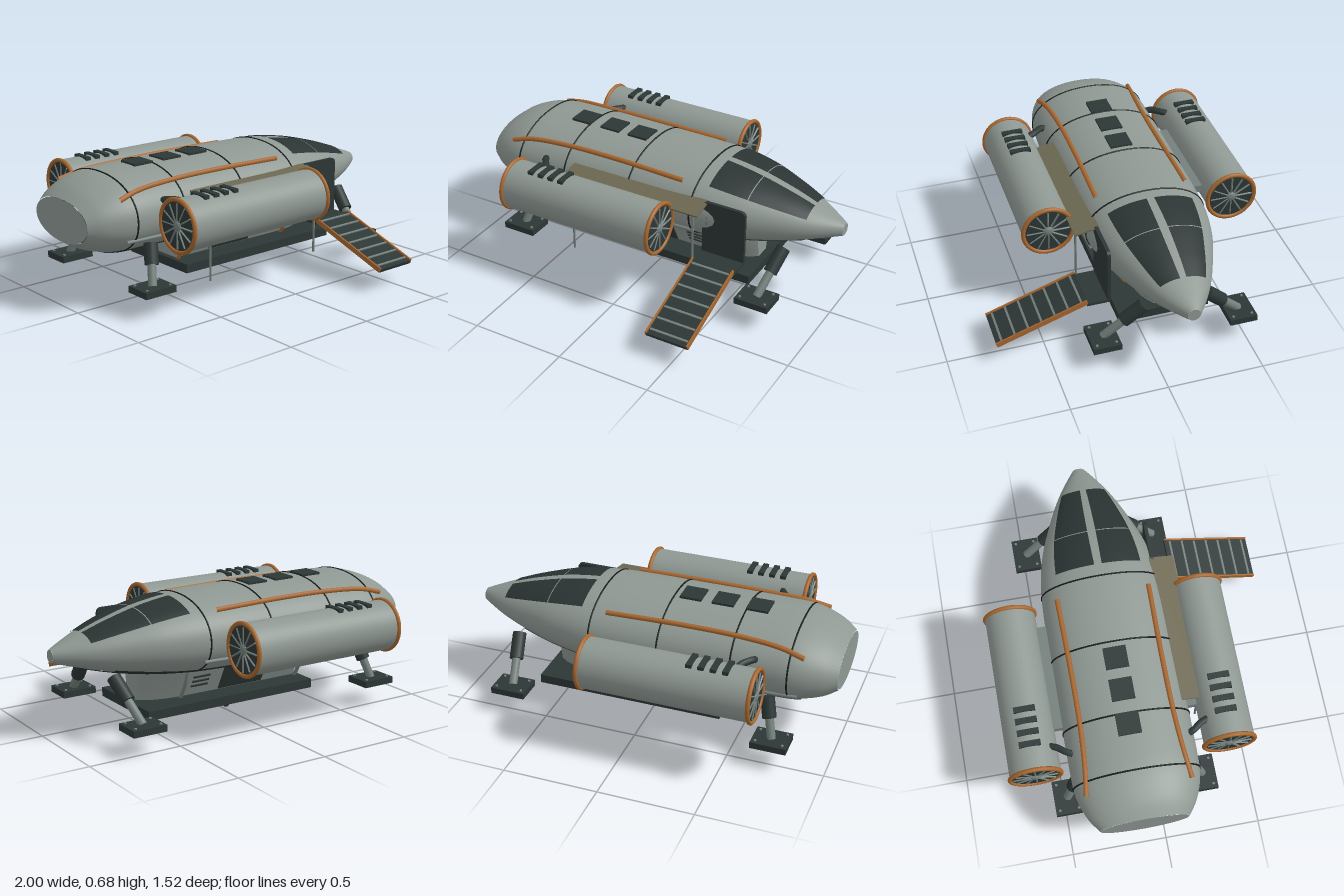
import * as THREE from 'three';
import { mergeVertices } from 'three/addons/utils/BufferGeometryUtils.js';

const mat = (name, color, side = THREE.FrontSide) => {
  const m = new THREE.MeshStandardMaterial({ color, side });
  m.name = name;
  return m;
};
const V = (x, y, z) => new THREE.Vector3(x, y, z);

// Hull stations: x, top, bottom, half width
const STATIONS = [
  [-1, 0.56, 0.34, 0.225], [-0.93, 0.61, 0.298, 0.275], [-0.81, 0.653, 0.266, 0.318],
  [-0.68, 0.665, 0.26, 0.326], [-0.2, 0.667, 0.26, 0.326], [0.28, 0.662, 0.268, 0.318],
  [0.5, 0.635, 0.292, 0.28], [0.7, 0.583, 0.328, 0.206], [0.84, 0.535, 0.364, 0.14],
  [0.95, 0.495, 0.395, 0.07], [1, 0.475, 0.41, 0.033],
];
function section(x) {
  let i = 0;
  while (i < STATIONS.length - 2 && x > STATIONS[i + 1][0]) i++;
  const a = STATIONS[i], b = STATIONS[i + 1], h = b[0] - a[0], t = (x - a[0]) / h;
  const slope = (k, c) => {
    const p = STATIONS[Math.max(k - 1, 0)], n = STATIONS[Math.min(k + 1, STATIONS.length - 1)];
    return (n[c] - p[c]) / (n[0] - p[0]);
  };
  const f = (c) => (2 * t ** 3 - 3 * t * t + 1) * a[c] + (t ** 3 - 2 * t * t + t) * h * slope(i, c)
    + (3 * t * t - 2 * t ** 3) * b[c] + (t ** 3 - t * t) * h * slope(i + 1, c);
  return { cy: (f(1) + f(2)) / 2, ry: (f(1) - f(2)) / 2, rz: f(3) };
}
// Point on the hull; angle t runs from the top towards +z
function hullPoint(x, t, off = 0) {
  const s = section(x), p = (v) => Math.sign(v) * Math.abs(v) ** 0.93;
  return V(x, s.cy + (s.ry + off) * p(Math.cos(t)), (s.rz + off) * p(Math.sin(t)));
}
// Patch of hull skin; t0 and t1 are [angle at x0, angle at x1]
function patch(x0, x1, t0, t1, off, nx, nt) {
  const pos = [], idx = [];
  for (let i = 0; i <= nx; i++) for (let j = 0; j <= nt; j++) {
    const u = i / nx, a = t0[0] + (t0[1] - t0[0]) * u, b = t1[0] + (t1[1] - t1[0]) * u;
    pos.push(...hullPoint(x0 + (x1 - x0) * u, a + ((b - a) * j) / nt, off));
    if (i < nx && j < nt) {
      const k = i * (nt + 1) + j, n = k + nt + 1;
      idx.push(k, k + 1, n, k + 1, n + 1, n);
    }
  }
  let g = new THREE.BufferGeometry();
  g.setAttribute('position', new THREE.Float32BufferAttribute(pos, 3));
  g.setIndex(idx);
  g = mergeVertices(g, 1e-5);
  g.computeVertexNormals();
  return g;
}

export function createModel() {
  const hullGrey = mat('hull grey', 0x8f9893);
  const dark = mat('dark metal', 0x2c3735);
  const glass = mat('dark glass', 0x2b3333, THREE.DoubleSide);
  const belly2 = mat('underside dark', 0x2a3230, THREE.DoubleSide);
  const copper = mat('copper', 0xa8672f);
  const steel = mat('steel', 0x74807c);
  const olive = mat('olive canvas', 0x6b6750);
  const black = mat('seam black', 0x161b1a);

  const root = new THREE.Group();
  root.name = 'dropship';
  const body = new THREE.Group();
  body.name = 'body';
  body.position.z = -0.117;
  root.add(body);

  const add = (name, geo, m, x = 0, y = 0, z = 0, parent = body) => {
    const mesh = new THREE.Mesh(geo, m);
    mesh.name = name;
    mesh.position.set(x, y, z);
    parent.add(mesh);
    return mesh;
  };
  const box = (name, w, h, d, m, x, y, z, parent) => add(name, new THREE.BoxGeometry(w, h, d), m, x, y, z, parent);
  const tube = (name, pts, r, m, closed = false, parent = body) =>
    add(name, new THREE.TubeGeometry(new THREE.CatmullRomCurve3(pts, closed), closed ? 72 : 32, r, 8, closed), m, 0, 0, 0, parent);
  const rod = (name, a, b, r, m, parent = body) => {
    const d = b.clone().sub(a), c = a.clone().add(b).multiplyScalar(0.5);
    const mesh = add(name, new THREE.CylinderGeometry(r, r, d.length(), 16), m, c.x, c.y, c.z, parent);
    mesh.quaternion.setFromUnitVectors(V(0, 1, 0), d.normalize());
    return mesh;
  };

  // Hull with end caps, seams and dark underside
  add('hull', patch(-1, 1, [0, 0], [Math.PI * 2, Math.PI * 2], 0, 80, 56), hullGrey);
  for (const x of [-1, 1]) {
    const s = section(x), cap = add('hullCap', new THREE.CircleGeometry(1, 40), hullGrey, x, s.cy, 0);
    cap.rotation.y = x * Math.PI / 2;
    cap.scale.set(s.rz, s.ry, 1);
  }
  for (const x of [-0.77, -0.48, -0.095, 0.275]) {
    const ring = Array.from({ length: 48 }, (_, i) => hullPoint(x, (i / 48) * Math.PI * 2));
    tube('hullSeam', ring, 0.0045, black, true);
  }
  add('underside', patch(-0.82, 0.72, [2.4, 2.35], [3.88, 3.93], 0.006, 40, 20), belly2);
  add('chinPanel', patch(0.74, 0.82, [2.55, 2.55], [3.73, 3.73], 0.005, 4, 14), belly2);

  // Roof hatches
  for (const x of [-0.535, -0.355, -0.185]) box('roofHatch', 0.115, 0.014, 0.118, dark, x, 0.669, 0);

  // Windshield halves, hull pipes and side rails
  for (const s of [-1, 1]) {
    const a = [0.05, 0.09], b = [0.76, 0.88];
    for (const [x0, x1, u0, u1] of [[0.34, 0.545, 0, 0.41], [0.55, 0.835, 0.42, 1]]) {
      const at = (r, u) => r[0] + (r[1] - r[0]) * u;
      const lo = [at(a, u0), at(a, u1)], hi = [at(b, u0), at(b, u1)], neg = (r) => r.map((v) => -v);
      add('windshield', s > 0 ? patch(x0, x1, lo, hi, 0.005, 14, 12) : patch(x0, x1, neg(hi), neg(lo), 0.005, 14, 12), glass);
    }
    tube('hullPipe', [V(-0.84, 0.575, s * 0.266), V(-0.72, 0.603, s * 0.25), V(-0.5, 0.617, s * 0.236),
      V(-0.2, 0.62, s * 0.234), V(0.2, 0.613, s * 0.24)], 0.013, copper);
    tube('sideRail', [-0.82, -0.5, -0.1, 0.3].map((x) => hullPoint(x, s * 2.02, 0.008)), 0.01, steel);
  }

  // Engine nacelles
  for (const s of [-1, 1]) {
    const g = new THREE.Group();
    g.name = 'nacelle';
    g.position.set(-0.23, 0.47, s * 0.498);
    body.add(g);
    add('nacelleShell', new THREE.CylinderGeometry(0.131, 0.131, 0.875, 40), hullGrey, 0, 0, 0, g).rotation.z = Math.PI / 2;
    for (const e of [-1, 1]) {
      const end = new THREE.Group();
      end.name = e > 0 ? 'intake' : 'exhaust';
      end.position.x = e * 0.437;
      end.rotation.y = e * Math.PI / 2;
      g.add(end);
      add('lipRing', new THREE.TorusGeometry(0.131, 0.0115, 10, 40), copper, 0, 0, 0, end);
      add('fanDisc', new THREE.CircleGeometry(0.125, 40), dark, 0, 0, 0.002, end);
      add('fanHub', new THREE.SphereGeometry(0.027, 16, 10), steel, 0, 0, 0.002, end).scale.z = 0.5;
      for (let i = 0; i < 12; i++) {
        const t = (i / 12) * Math.PI * 2;
        const blade = box('fanBlade', 0.088, 0.006, 0.008, steel, Math.cos(t) * 0.07, Math.sin(t) * 0.07, 0.004, end);
        blade.rotation.set(0.5, 0, t, 'ZYX');
      }
    }
    for (let i = 0; i < 4; i++) box('nacelleVent', 0.03, 0.03, 0.11, dark, -0.3 + i * 0.061, 0.122, 0, g);
    // Pylon and feed pipe to the hull
    box('pylon', 0.56, 0.04, 0.14, steel, -0.17, 0.48, s * 0.34);
    tube('feedPipe', [V(-0.61, 0.53, s * 0.27), V(-0.595, 0.55, s * 0.32), V(-0.56, 0.55, s * 0.37), V(-0.54, 0.54, s * 0.42)], 0.018, dark);
  }

  // Belly pod, narrowing downwards and rounded at the nose
  const pod = new THREE.BoxGeometry(0.93, 0.16, 1, 24, 4, 4);
  pod.translate(0.085, 0.225, 0);
  const p = pod.attributes.position;
  for (let i = 0; i < p.count; i++) {
    const w = 0.11 + ((p.getY(i) - 0.145) / 0.16) * 0.08, k = Math.max(0, (p.getX(i) - 0.3) / 0.27);
    p.setZ(i, p.getZ(i) * 2 * w * Math.sqrt(Math.max(0.02, 1 - k * k)));
  }
  pod.computeVertexNormals();
  add('bellyPod', pod, hullGrey);
  for (const s of [-1, 1]) {
    const side = new THREE.Group();
    side.name = 'podSide';
    side.position.set(0, 0.225, s * 0.152);
    side.rotation.x = s * 0.47;
    body.add(side);
    box('podHatch', 0.27, 0.15, 0.008, dark, -0.03, 0, 0, side);
    for (const x of [-0.285, 0.235]) for (const y of [-0.022, 0.008, 0.038])
      box('podLouver', 0.1, 0.01, 0.008, dark, x, y, 0, side);
    for (const x of [-0.38, 0.34])
      tube('podPipe', [V(x, 0.3, s * 0.2), V(x, 0.24, s * 0.18), V(x, 0.15, s * 0.13)], 0.01, s > 0 ? copper : steel);
  }

  // Loading platform and the hook under it
  box('platform', 1, 0.047, 0.48, dark, 0.09, 0.128, 0);
  rod('hookStem', V(-0.025, 0.11, 0), V(-0.025, 0.03, 0), 0.012, steel);
  add('hookBall', new THREE.SphereGeometry(0.022, 18, 12), dark, -0.025, 0.022, 0);
  rod('hookBar', V(-0.1, 0.092, 0), V(0.04, 0.092, 0), 0.007, olive);
  rod('hookCrossbar', V(-0.025, 0.085, -0.03), V(-0.025, 0.085, 0.06), 0.007, copper);

  // Landing legs
  for (const s of [-1, 1]) for (const [fx, tx, tz] of [[-0.72, -0.67, 0.285], [0.695, 0.74, 0.16]]) {
    const foot = V(fx, 0.14, s * 0.36), top = V(tx, 0.335, s * tz), mid = foot.clone().lerp(top, 0.5);
    box('footPad', 0.185, 0.034, 0.145, dark, fx, 0.128, s * 0.36);
    for (const a of [-0.07, 0.07]) for (const b of [-0.05, 0.05])
      add('footBolt', new THREE.CylinderGeometry(0.007, 0.007, 0.008, 8), steel, fx + a, 0.147, s * 0.36 + b);
    rod('legRod', foot, mid, 0.022, steel);
    rod('legSleeve', mid, top, 0.036, dark);
  }

  // Side door with a rounded top, and its landing
  const shape = new THREE.Shape();
  shape.moveTo(-0.12, 0).lineTo(0.12, 0).lineTo(0.12, 0.27);
  shape.quadraticCurveTo(0.12, 0.3, 0.09, 0.3).lineTo(-0.09, 0.3).quadraticCurveTo(-0.12, 0.3, -0.12, 0.27);
  add('door', new THREE.ExtrudeGeometry(shape, { depth: 0.018, bevelEnabled: false }), dark, 0.465, 0.265, 0.282);
  box('doorHandle', 0.012, 0.05, 0.008, steel, 0.37, 0.46, 0.303);
  box('landing', 0.24, 0.016, 0.12, dark, 0.465, 0.262, 0.345);

  // Ramp with treads and copper edges
  const ramp = new THREE.Group();
  ramp.name = 'ramp';
  ramp.position.set(0.465, 0.193, 0.637);
  ramp.rotation.x = 0.331;
  body.add(ramp);
  box('rampDeck', 0.23, 0.018, 0.5, dark, 0, 0, 0, ramp);
  for (const s of [-1, 1]) box('rampEdge', 0.009, 0.026, 0.5, copper, s * 0.115, 0.004, 0, ramp);
  for (let i = 0; i < 9; i++) if (i < 7) box('rampTread', 0.21, 0.008, 0.011, steel, 0, 0.011, -0.22 + i * 0.073, ramp);

  // Awning on two poles
  const awning = box('awning', 0.8, 0.008, 0.13, olive, -0.03, 0.548, 0.34);
  awning.rotation.x = 0.2;
  for (const x of [-0.38, 0.34]) rod('awningPole', V(x, 0.1, 0.393), V(x, 0.54, 0.393), 0.006, steel);

  return root;
}
